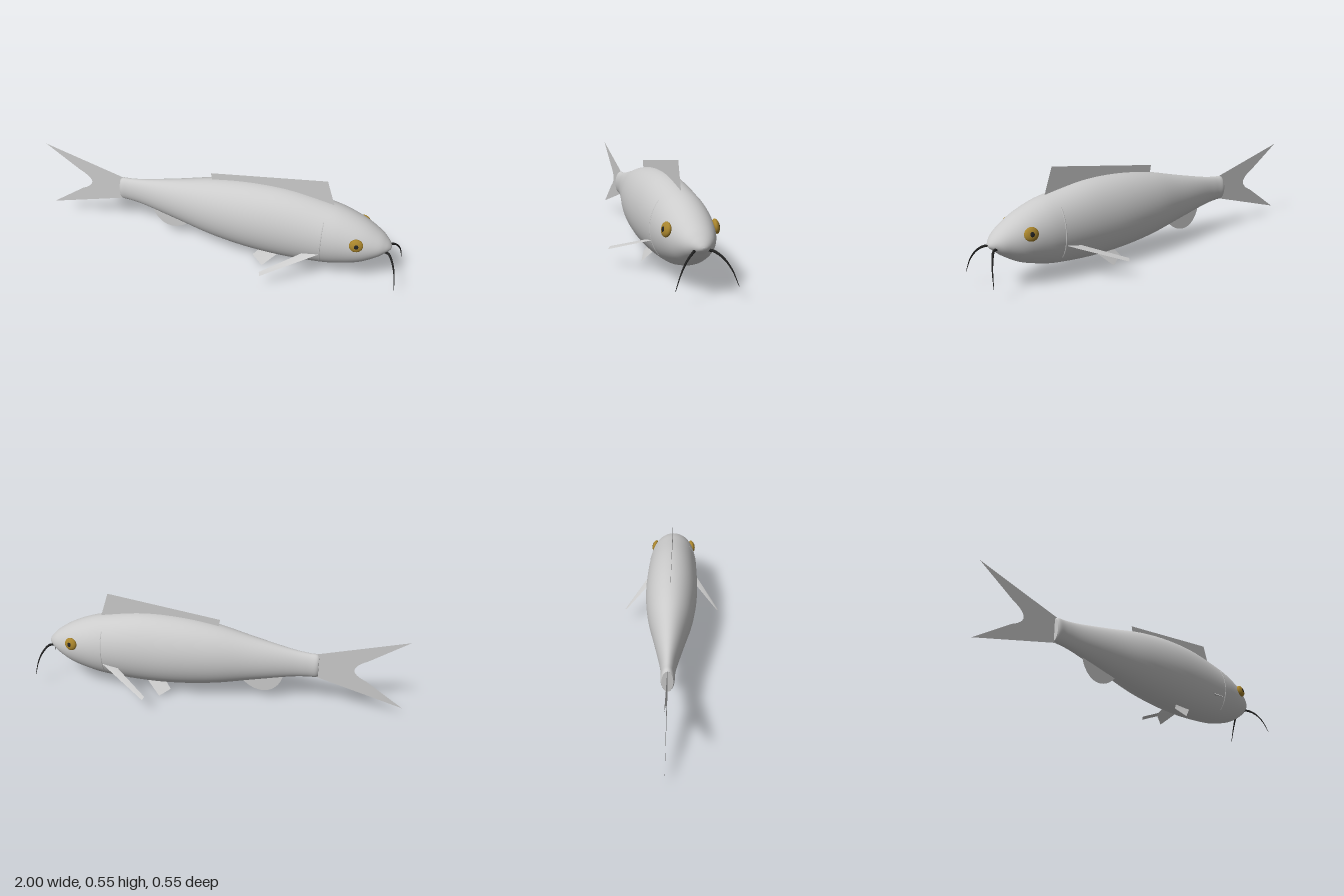
import * as THREE from 'three';

const grey = new THREE.MeshStandardMaterial({ color: 0xcccccc });
const finGrey = new THREE.MeshStandardMaterial({ color: 0xcccccc, side: THREE.DoubleSide });
const gold = new THREE.MeshStandardMaterial({ color: 0xa8842c });
const dark = new THREE.MeshStandardMaterial({ color: 0x222222 });

// Body stations: x, top y, bottom y, half width
const STATIONS = [
  [-0.55, 0.306, 0.186, 0.028], [-0.535, 0.315, 0.18, 0.034], [-0.49, 0.318, 0.178, 0.035],
  [-0.4, 0.332, 0.166, 0.045], [-0.2, 0.377, 0.125, 0.083], [0, 0.425, 0.084, 0.122],
  [0.2, 0.451, 0.06, 0.142], [0.4, 0.452, 0.054, 0.144], [0.6, 0.422, 0.068, 0.137],
  [0.7, 0.398, 0.088, 0.128], [0.8, 0.357, 0.12, 0.108], [0.88, 0.308, 0.167, 0.076],
  [0.92, 0.273, 0.2, 0.046], [0.94, 0.248, 0.217, 0.021], [0.946, 0.234, 0.23, 0.004],
];
const upper = new THREE.SplineCurve(STATIONS.map(s => new THREE.Vector2(s[0], s[1])));
const lower = new THREE.SplineCurve(STATIONS.map(s => new THREE.Vector2(s[2], s[3])));

function add(group, name, geometry, material) {
  const mesh = new THREE.Mesh(geometry, material);
  mesh.name = name;
  group.add(mesh);
  return mesh;
}

// Elliptical sections lofted along x
function bodyGeometry(rows = 84, sides = 48) {
  const pos = [], index = [];
  for (let i = 0; i <= rows; i++) {
    const a = upper.getPoint(i / rows), b = lower.getPoint(i / rows);
    const cy = (a.y + b.x) / 2, h = (a.y - b.x) / 2;
    for (let j = 0; j < sides; j++) {
      const t = (j / sides) * Math.PI * 2;
      pos.push(a.x, cy + h * Math.sin(t), b.y * Math.cos(t));
      if (i === rows) continue;
      const p = i * sides + j, q = i * sides + (j + 1) % sides;
      index.push(p, p + sides, q, q, p + sides, q + sides);
    }
  }
  const g = new THREE.BufferGeometry();
  g.setAttribute('position', new THREE.Float32BufferAttribute(pos, 3));
  g.setIndex(index);
  g.computeVertexNormals();
  return g;
}

// Flat four-cornered fin
function quadFin(corners, side) {
  const g = new THREE.BufferGeometry();
  const pos = corners.flatMap(([x, y, z]) => [x, y, z * side]);
  g.setAttribute('position', new THREE.Float32BufferAttribute(pos, 3));
  g.setIndex(side > 0 ? [0, 1, 2, 0, 2, 3] : [0, 2, 1, 0, 3, 2]);
  g.computeVertexNormals();
  return g;
}

// Tube narrowing to a fine point
function taperedTube(points, radius, rows = 24, sides = 10) {
  const curve = new THREE.CatmullRomCurve3(points);
  const g = new THREE.TubeGeometry(curve, rows, radius, sides);
  const p = g.attributes.position, v = new THREE.Vector3();
  for (let i = 0; i < p.count; i++) {
    const t = Math.floor(i / (sides + 1)) / rows;
    v.fromBufferAttribute(p, i).lerp(curve.getPointAt(t), 0.85 * t);
    p.setXYZ(i, v.x, v.y, v.z);
  }
  return g;
}

export function createModel() {
  const fish = new THREE.Group();
  fish.name = 'fish';

  add(fish, 'body', bodyGeometry(), grey);
  const cap = add(fish, 'tailStump', new THREE.CircleGeometry(1, 32).scale(0.028, 0.06, 1), grey);
  cap.rotation.y = -Math.PI / 2;
  cap.position.set(-0.55, 0.246, 0);

  // Forked tail fin
  const tail = new THREE.Shape();
  tail.moveTo(-0.52, 0.312);
  tail.lineTo(-1, 0.44);
  tail.lineTo(-0.8, 0.307);
  tail.quadraticCurveTo(-0.67, 0.243, -0.8, 0.185);
  tail.lineTo(-1, 0.045);
  tail.lineTo(-0.52, 0.184);
  add(fish, 'tailFin', new THREE.ShapeGeometry(tail), finGrey);

  // Dorsal fin
  const dorsal = new THREE.Shape([[-0.01, 0.4], [0.64, 0.4], [0.59, 0.548], [-0.022, 0.46]]
    .map(p => new THREE.Vector2(...p)));
  add(fish, 'dorsalFin', new THREE.ShapeGeometry(dorsal), finGrey);

  // Rounded anal fin
  const anal = new THREE.Shape();
  anal.moveTo(-0.37, 0.18);
  anal.bezierCurveTo(-0.36, 0.1, -0.31, 0.055, -0.26, 0.055);
  anal.bezierCurveTo(-0.21, 0.055, -0.17, 0.08, -0.13, 0.13);
  add(fish, 'analFin', new THREE.ShapeGeometry(anal), finGrey);

  for (const side of [1, -1]) {
    const label = side > 0 ? 'left' : 'right';

    add(fish, label + 'PectoralFin', quadFin([
      [0.61, 0.19, 0.125], [0.52, 0.172, 0.125], [0.33, 0.098, 0.26], [0.338, 0.085, 0.275],
    ], side), finGrey);
    add(fish, label + 'PelvicFin', quadFin([
      [0.38, 0.075, 0.05], [0.27, 0.075, 0.05], [0.24, 0.036, 0.067], [0.3, 0, 0.095],
    ], side), finGrey);

    // Gill edge, a faint ridge hugging the flank
    const gill = [];
    for (let i = 0; i <= 12; i++) {
      const t = -0.8 + (i / 12) * 1.6;
      gill.push(new THREE.Vector3(0.605, 0.244 + 0.174 * Math.sin(t), side * 0.135 * Math.cos(t)));
    }
    add(fish, label + 'GillEdge',
      new THREE.TubeGeometry(new THREE.CatmullRomCurve3(gill), 24, 0.004, 6), grey);

    // Eye with pupil, turned to follow the head
    const eye = new THREE.Group();
    eye.name = label + 'Eye';
    add(eye, 'eyeball', new THREE.SphereGeometry(1, 32, 20).scale(0.035, 0.034, 0.017), gold);
    add(eye, 'pupil', new THREE.SphereGeometry(1, 20, 12).scale(0.015, 0.016, 0.006), dark)
      .position.z = side * 0.012;
    eye.position.set(0.78, 0.28, side * 0.113);
    eye.rotation.set(-side * 0.2, side * 0.2, 0);
    fish.add(eye);

    // Whisker beside the mouth
    const whisker = [[0.915, 0.215, 0.03], [0.94, 0.216, 0.045], [0.965, 0.192, 0.078],
      [0.985, 0.145, 0.11], [0.998, 0.073, 0.139]];
    add(fish, label + 'Whisker', taperedTube(
      whisker.map(([x, y, z]) => new THREE.Vector3(x, y, z * side)), 0.007), dark);
  }
  return fish;
}
